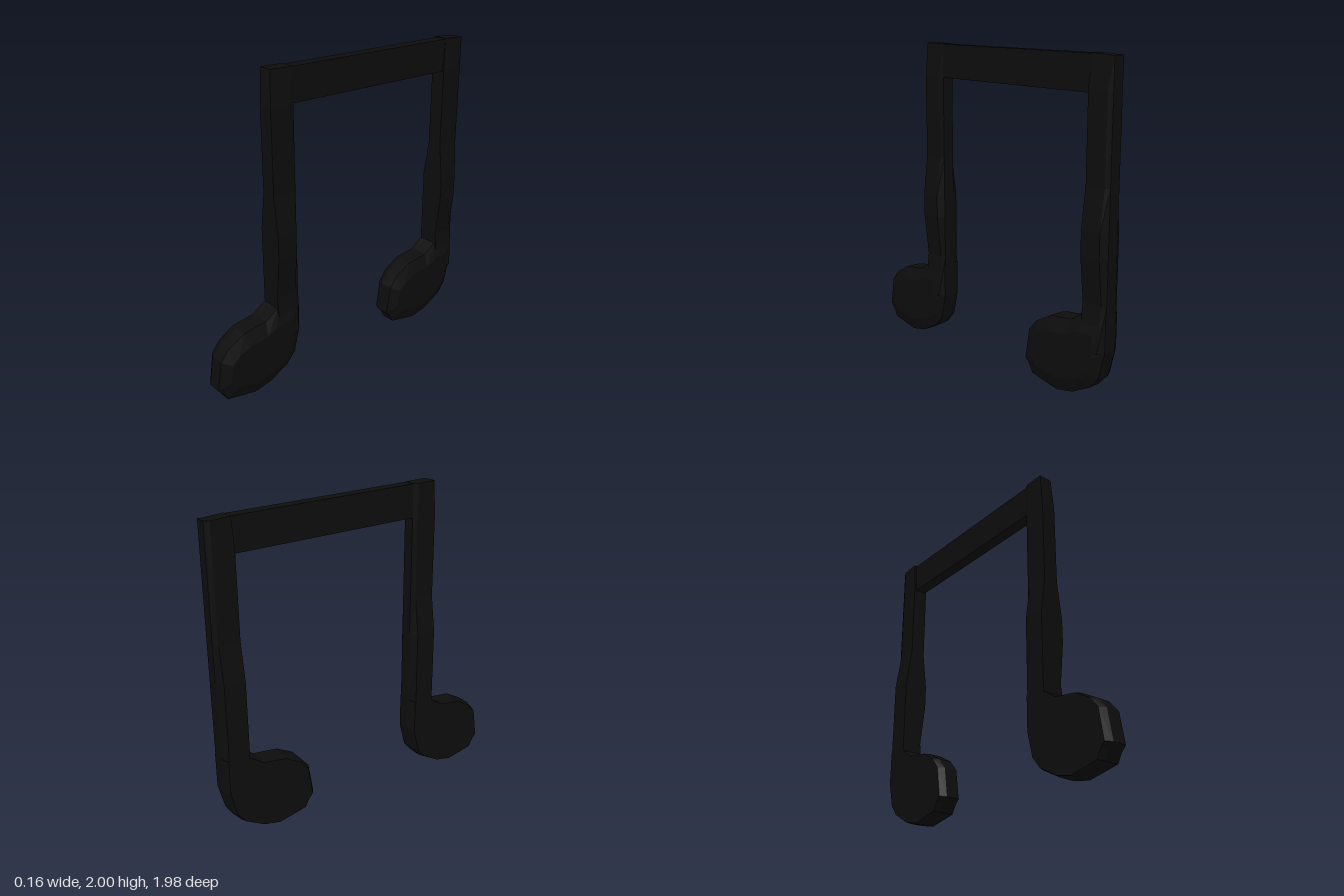
import * as THREE from 'three';

const black = new THREE.MeshStandardMaterial({ color: 0x0d0d0d });
black.name = 'black';

// Faceted solid through equal-length rings; project gives a counter-clockwise
// 2D outline as seen from the last ring, used to fill the two ends.
function loft(rings, project) {
  const n = rings[0].length;
  const pos = [];
  const tri = (a, b, c) => pos.push(...a, ...b, ...c);
  for (let i = 0; i < rings.length - 1; i++) {
    for (let j = 0; j < n; j++) {
      const k = (j + 1) % n;
      const [a, b, c, d] = [rings[i][j], rings[i][k], rings[i + 1][k], rings[i + 1][j]];
      tri(a, b, c);
      tri(a, c, d);
    }
  }
  const first = rings[0];
  const last = rings[rings.length - 1];
  const fill = (ring) => THREE.ShapeUtils.triangulateShape(ring.map(project), []);
  for (const [a, b, c] of fill(last)) tri(last[a], last[b], last[c]);
  for (const [a, b, c] of fill(first)) tri(first[c], first[b], first[a]);
  const geo = new THREE.BufferGeometry();
  geo.setAttribute('position', new THREE.Float32BufferAttribute(pos, 3));
  geo.computeVertexNormals();
  return geo;
}

function part(name, geometry) {
  const mesh = new THREE.Mesh(geometry, black);
  mesh.name = name;
  return mesh;
}

// Note head: side outline (z, y), bevelled more on the +x face
function headGeometry() {
  const outline = [
    [0.99, 0.13], [0.96, 0.10], [0.93, 0.045], [0.73, 0.005], [0.61, 0.03],
    [0.48, 0.10], [0.42, 0.17], [0.38, 0.33], [0.38, 0.55], [0.54, 0.53],
    [0.63, 0.47], [0.79, 0.45], [0.90, 0.39], [0.96, 0.32],
  ];
  const slices = [ // x, z scale, y scale
    [-0.085, 0.92, 0.98], [-0.045, 1, 1], [0.045, 1, 1], [0.08, 0.78, 0.62],
  ];
  const rings = slices.map(([x, sz, sy]) =>
    outline.map(([z, y]) => [x, 0.24 + (y - 0.24) * sy, 0.68 + (z - 0.68) * sz]));
  return loft(rings, (p) => new THREE.Vector2(-p[2], p[1]));
}

// Stem: swells at the front, keeps a narrow straight back edge
function stemGeometry(topFront, topBack) {
  const levels = [ // y, left x, right x
    [0.33, -0.085, 0.08], [0.60, -0.085, 0.05], [0.87, -0.085, 0.08],
    [1.02, -0.085, 0.08], [1.26, -0.05, 0.05], [1.78, -0.05, 0.05], [null, -0.05, 0.04],
  ];
  const rings = levels.map(([y, l, r]) => {
    const top = y === null;
    const f = top ? 0.53 : 0.543;
    const yf = top ? topFront : y;
    const yb = top ? topBack : y;
    return [[l, yf, f], [r, yf, f], [r, yb, 0.41], [0.04, yb, 0.38], [-0.035, yb, 0.38], [l, yb, 0.41]];
  });
  return loft(rings, (p) => new THREE.Vector2(p[0], -p[2]));
}

export function createModel() {
  const model = new THREE.Group();
  model.name = 'beamedNotes';

  // Two matching notes, the rear one slightly shorter
  const notes = [['frontNote', 0, 2.0, 1.995], ['backNote', -1.367, 1.97, 1.96]];
  for (const [name, z, topFront, topBack] of notes) {
    const note = new THREE.Group();
    note.name = name;
    note.add(part('head', headGeometry()), part('stem', stemGeometry(topFront, topBack)));
    note.position.z = z;
    model.add(note);
  }

  // Gently sloping beam joining the stem tops
  const beamEnd = (z, low, high) => [[-0.035, low, z], [0.04, low, z], [0.04, high, z], [-0.035, high, z]];
  const beam = loft([beamEnd(-0.9, 1.758, 1.965), beamEnd(0.46, 1.786, 1.995)],
    (p) => new THREE.Vector2(p[0], p[1]));
  model.add(part('beam', beam));
  return model;
}
